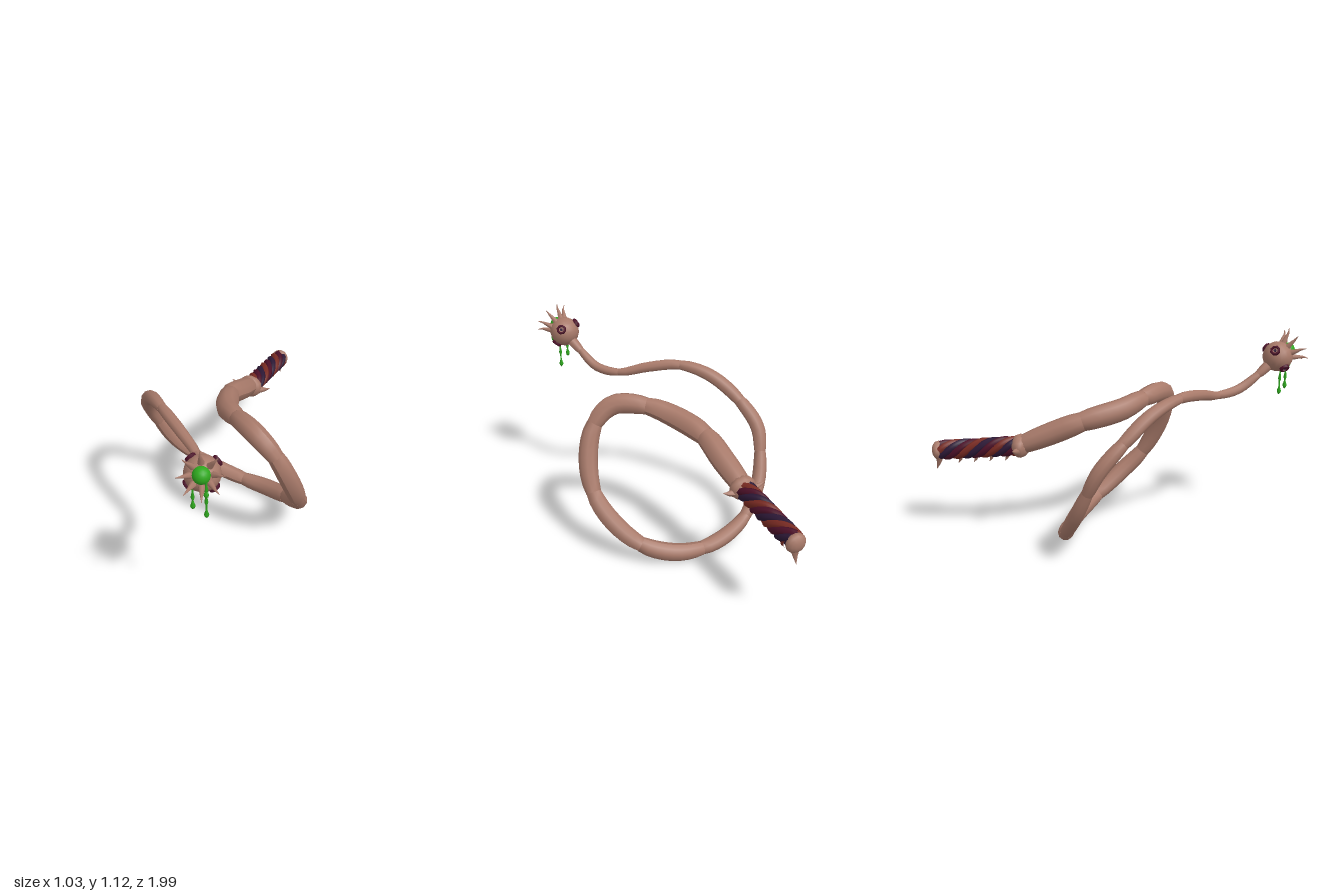
import * as THREE from 'three';

const mat = (name, color, opts = {}) => {
  const m = new THREE.MeshStandardMaterial({ color, ...opts });
  m.name = name;
  return m;
};
const V = (x, y, z) => new THREE.Vector3(x, y, z);

// A stretch of a longer curve
class Stretch extends THREE.Curve {
  constructor(whole, a, b) { super(); Object.assign(this, { whole, a, b }); }
  getPoint(t, target = V(0, 0, 0)) { return this.whole.getPoint(this.a + (this.b - this.a) * t, target); }
}

// Tube whose radius follows a rule along its length
function sweep(curve, radiusAt, segments, sides) {
  const g = new THREE.TubeGeometry(curve, segments, 1, sides);
  const p = g.attributes.position, v = V(0, 0, 0);
  for (let i = 0; i <= segments; i++) {
    const c = curve.getPointAt(i / segments), r = radiusAt(i / segments);
    for (let j = 0; j <= sides; j++) {
      const k = i * (sides + 1) + j;
      v.fromBufferAttribute(p, k).sub(c).multiplyScalar(r).add(c);
      p.setXYZ(k, v.x, v.y, v.z);
    }
  }
  g.computeVertexNormals();
  return g;
}

export function createModel() {
  const hide = mat('hide', 0xa87a6a, { side: THREE.DoubleSide });
  const slime = mat('slime', 0x2fa81e);
  const maroon = mat('maroon', 0x4c1028);
  const red = mat('red leather', 0x782a22);
  const navy = mat('dark leather', 0x2c1836);

  const root = new THREE.Group();
  root.name = 'whip';
  const add = (parent, name, geo, material) => {
    const m = new THREE.Mesh(geo, material);
    m.name = name;
    parent.add(m);
    return m;
  };
  const horn = (parent, name, pts, r) => add(parent, name,
    sweep(new THREE.CatmullRomCurve3(pts), t => r * (1 - t) + 0.0008, 6, 7), hide);

  // Lash: joints and link middles alternate along the path
  const path = new THREE.CatmullRomCurve3([
    [-.085, .53, -.5], [-.07, .6, -.33], [-.055, .665, -.17], [.03, .715, .03], [.13, .75, .13],
    [.28, .75, .225], [.385, .66, .235], [.45, .5, .19], [.465, .33, .1], [.42, .21, -.02],
    [.31, .1, -.15], [.16, .05, -.23], [0, .04, -.255], [-.15, .07, -.25], [-.29, .14, -.22],
    [-.41, .28, -.15], [-.46, .43, -.08], [-.475, .55, -.02], [-.42, .68, .09], [-.31, .8, .22],
    [-.18, .845, .34], [-.03, .825, .44], [.11, .787, .53], [.2, .8, .64], [.25, .87, .74],
    [.275, .91, .785], [.3, .95, .83],
  ].map(p => V(...p)));
  const radii = [.054, .06, .053, .05, .048, .047, .044, .037, .036, .037, .03, .024, .023, .029];
  const last = path.points.length - 1;
  for (let i = 0; i < last / 2; i++) {
    const link = new Stretch(path, 2 * i / last, (2 * i + 2) / last);
    const radius = t => THREE.MathUtils.lerp(radii[i], radii[i + 1], t) *
      (0.86 + 0.2 * Math.pow(Math.sin(Math.PI * Math.min(1, Math.max(0, t))), 0.6));
    add(root, 'lashLink', sweep(link, radius, 8, 10), hide);
  }

  // Handle, built upright and then laid back
  const handle = new THREE.Group();
  handle.name = 'handle';
  handle.position.set(-.083, .527, -.5);
  handle.quaternion.setFromUnitVectors(V(0, 1, 0), V(0, -.1, -.99).normalize());
  root.add(handle);
  const core = add(handle, 'gripCore', new THREE.CylinderGeometry(.042, .042, .43, 12), navy);
  core.position.y = .235;
  const leathers = [maroon, red, navy];
  for (let s = 0; s < 6; s++) {
    const pts = [];
    for (let k = 0; k <= 16; k++) {
      const a = s * Math.PI / 3 + k / 16 * Math.PI * 2.6;
      pts.push(V(.035 * Math.cos(a), .02 + .42 * k / 16, .035 * Math.sin(a)));
    }
    add(handle, 'gripStrand',
      new THREE.TubeGeometry(new THREE.CatmullRomCurve3(pts), 32, .02, 6), leathers[s % 3]);
  }
  // Guard with a horn on each side
  const guard = add(handle, 'guard', new THREE.SphereGeometry(.068, 12, 8), hide);
  guard.scale.set(1.05, .7, .95);
  for (const s of [-1, 1]) {
    horn(handle, 'guardHorn', [V(s * .05, .005, -.012), V(s * .085, .01, -.005), V(s * .12, .012, .01)], .022);
  }
  // Pommel and its claw
  const pommel = add(handle, 'pommel', new THREE.SphereGeometry(.052, 12, 8), hide);
  pommel.position.y = .455;
  pommel.scale.y = .65;
  horn(handle, 'pommelClaw', [V(0, .455, -.035), V(0, .465, -.07), V(0, .482, -.105)], .022);
  // Teeth along the underside of the grip
  for (let i = 0; i < 4; i++) {
    const y = .075 + i * .087;
    horn(handle, 'gripTooth', [V(0, y, -.04), V(0, y + .006, -.06), V(0, y + .02, -.078)], .014);
  }

  // Head: local +y points out of the mouth
  const head = new THREE.Group();
  head.name = 'head';
  head.position.set(.303, .962, .842);
  const axis = V(.35, .5, .79).normalize();
  head.quaternion.setFromUnitVectors(V(0, 1, 0), axis);
  root.add(head);
  add(head, 'skull', new THREE.SphereGeometry(.081, 16, 12), hide);
  const orb = add(head, 'slimeOrb', new THREE.IcosahedronGeometry(.04, 3), slime);
  orb.position.y = .063;
  for (let i = 0; i < 8; i++) {
    const a = (i + .4) * Math.PI / 4, c = Math.cos(a), s = Math.sin(a);
    horn(head, 'mouthHorn',
      [[.045, .055], [.067, .085], [.08, .105], [.104, .122]].map(([r, y]) => V(r * c, y, r * s)), .016);
  }

  // Four ringed suckers around the head
  const inverse = head.quaternion.clone().invert();
  const ref = V(-.065, .035, -.03).applyQuaternion(inverse);
  const start = Math.atan2(ref.z, ref.x);
  const ringProfile = [[.015, -.01], [.027, -.01], [.027, .007], [.021, .012], [.015, .008], [.015, -.01]]
    .map(([x, y]) => new THREE.Vector2(x, y));
  for (let i = 0; i < 4; i++) {
    const a = start + i * Math.PI / 2;
    const dir = V(Math.cos(a), -.2, Math.sin(a)).normalize();
    const sucker = new THREE.Group();
    sucker.name = 'sucker';
    sucker.position.copy(dir).multiplyScalar(.08);
    sucker.quaternion.setFromUnitVectors(V(0, 1, 0), dir);
    head.add(sucker);
    add(sucker, 'suckerRing', new THREE.LatheGeometry(ringProfile, 8), maroon);
    add(sucker, 'suckerPit', new THREE.CylinderGeometry(.008, .008, .01, 8), navy);
  }

  // Slime drips: x, z, top, bottom
  for (const [x, z, top, bottom] of [[.33, .862, .92, .742], [.278, .886, .92, .79], [.353, .905, .98, .89]]) {
    const len = top - bottom;
    const profile = [[0, 0], [.008, .008], [.012, .02], [.004, .045], [.004, len * .5 - .016],
      [.009, len * .5], [.004, len * .5 + .03], [.007, len]].map(p => new THREE.Vector2(...p));
    add(root, 'slimeDrip', new THREE.LatheGeometry(profile, 7), slime).position.set(x, bottom, z);
  }
  return root;
}
